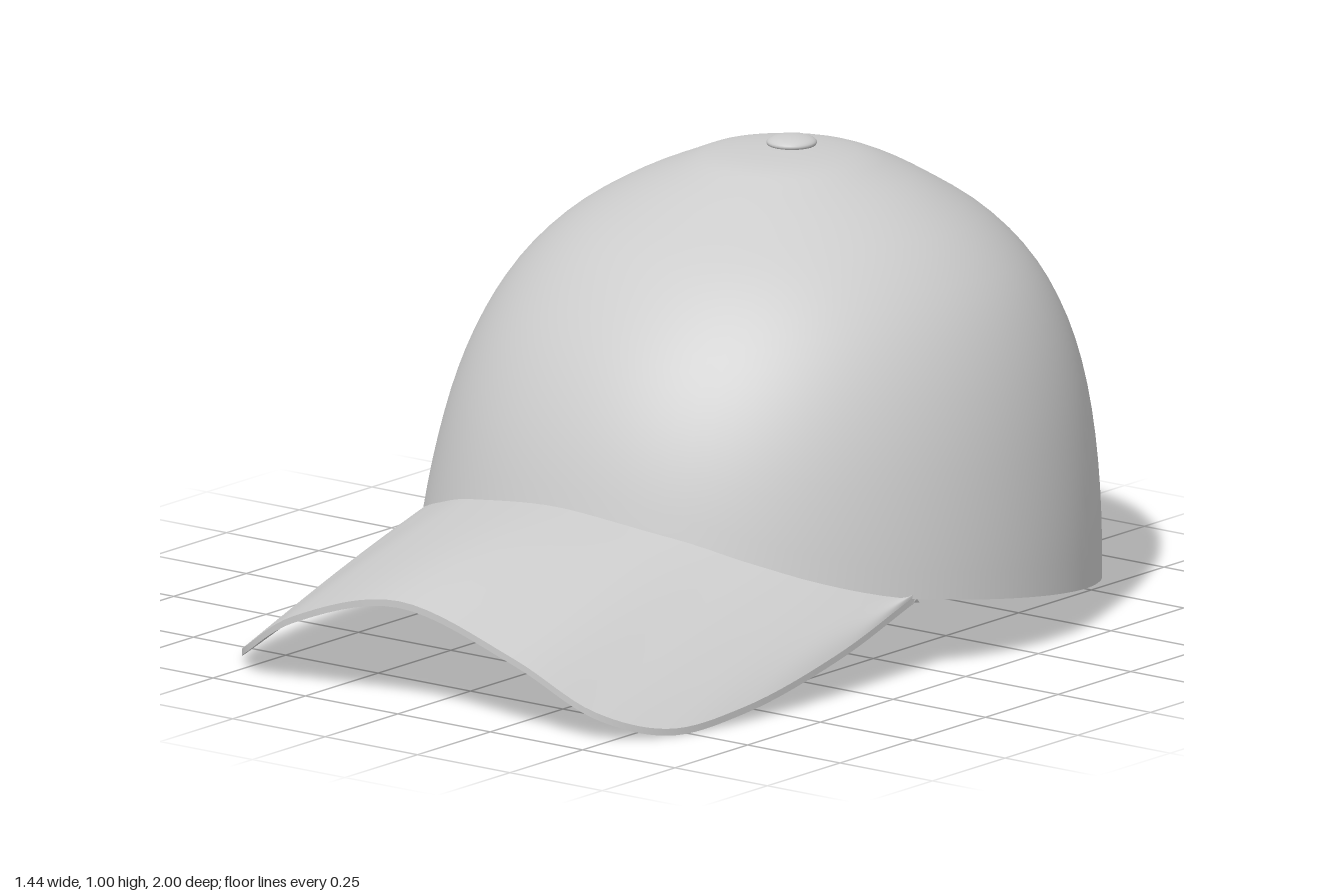
import * as THREE from 'three';
import { mergeGeometries } from 'three/addons/utils/BufferGeometryUtils.js';

const V = (x, y, z) => new THREE.Vector3(x, y, z);
const TOP = 0.98, WALL = 0.012;

// Surface through f(i, j); its front side is along (di x dj).
function grid(nu, nv, f) {
  const pos = [], idx = [];
  for (let i = 0; i <= nu; i++) for (let j = 0; j <= nv; j++) pos.push(...f(i, j).toArray());
  for (let i = 0; i < nu; i++) for (let j = 0; j < nv; j++) {
    const a = i * (nv + 1) + j, b = a + 1, c = a + nv + 1, d = c + 1;
    idx.push(a, c, b, c, d, b);
  }
  const g = new THREE.BufferGeometry();
  g.setAttribute('position', new THREE.Float32BufferAttribute(pos, 3));
  g.setIndex(idx);
  g.computeVertexNormals();
  return g;
}

// Crown profile at even steps of q = sqrt(TOP - y): half width, front z, back z
const profile = new THREE.CatmullRomCurve3([
  [0, -0.35, -0.35], [0.15, -0.19, -0.48], [0.235, -0.1, -0.57], [0.345, 0.01, -0.66],
  [0.455, 0.14, -0.765], [0.545, 0.245, -0.853], [0.61, 0.335, -0.92], [0.657, 0.405, -0.965],
  [0.69, 0.455, -0.987], [0.714, 0.49, -0.99], [0.728, 0.51, -0.98],
].map(p => V(...p)), false, 'catmullrom', 0.5);

// Point on the crown; theta runs from the back (0) over +x to the front (PI)
function crownPoint(theta, y, inset = 0) {
  const q = Math.sqrt(Math.max(0, TOP - y));
  const p = profile.getPoint(Math.min(q, 1)), k = 1 - inset / 0.72;
  return V(p.x * k * Math.sin(theta),
    y - inset * (1 - Math.min(1, q * 1.2)),
    (p.y + p.z) / 2 - (p.y - p.z) / 2 * k * Math.cos(theta));
}

// Height of the crown's lower edge, ignoring the rear opening
function hem(theta) {
  const u = -0.265 - 0.72 * Math.cos(theta) - 0.03;
  return 0.165 + (u < 0 ? 0.156 * u : 0.2 * u + 0.5 * u * u);
}

// Columns around the crown as [theta, lower y], with an arched rear opening
function crownColumns() {
  const half = [], end = Math.asin(0.3 / 0.72);
  for (let k = 0; k <= 16; k++) {
    const a = k / 16 * Math.PI / 2, th = Math.asin(0.3 * Math.sin(a) ** 0.8 / 0.72);
    half.push([th, hem(th) + 0.395 * Math.max(0, Math.cos(a)) ** 0.8]);
  }
  for (let k = 1; k <= 44; k++) {
    const th = end + (Math.PI - end) * k / 44;
    half.push([th, hem(th)]);
  }
  const other = half.slice(0, -1).reverse().map(([th, y]) => [2 * Math.PI - th, y]);
  return half.concat(other);
}

function crownGeometry() {
  const cols = crownColumns(), n = cols.length - 1, rows = 28;
  const at = (i, j, inset) => {
    const [th, yb] = cols[i], s = j / rows;
    return crownPoint(th, TOP - (TOP - yb) * s * s, inset);
  };
  return mergeGeometries([
    grid(n, rows, (i, j) => at(i, j, 0)),
    grid(n, rows, (i, j) => at(i, rows - j, WALL)),
    grid(n, 1, (i, j) => at(i, rows, j * WALL)),
  ]);
}

// Inner band along the hem, from one side of the opening to the other
function bandGeometry() {
  const a = Math.asin(0.3 / 0.72), n = 80;
  const insets = [0.012, 0.022, 0.022, 0.012], lifts = [0.003, 0.003, 0.13, 0.135];
  return grid(n, 3, (i, j) => {
    const th = a + (2 * Math.PI - 2 * a) * i / n;
    return crownPoint(th, hem(th) + lifts[j], insets[j]);
  });
}

// Curved brim spanned between the hem and an outer edge
function brimGeometry() {
  const mirror = pts => pts.concat(pts.slice(0, -1).reverse().map(([x, ...r]) => [-x, ...r]));
  const outer = new THREE.CatmullRomCurve3(mirror([
    [0.65, 0.17, 0.05], [0.645, 0.095, 0.3], [0.62, 0.032, 0.6], [0.57, 0.017, 0.8],
    [0.47, 0.062, 0.92], [0.3, 0.163, 0.98], [0, 0.247, 0.997],
  ]).map(p => V(...p)));
  const inner = new THREE.CatmullRomCurve3(
    mirror([[0.65], [0.625], [0.59], [0.53], [0.43], [0.28], [0]]).map(([x]) => {
      const th = Math.PI - Math.asin(x / 0.705);
      return crownPoint(th, hem(th) + 0.006, 0.008);
    }));
  const n = 96, m = 12, thick = 0.015;
  const at = (i, j, drop) => {
    const u = j / m, p = inner.getPoint(i / n).lerp(outer.getPoint(i / n), u);
    p.y += 0.008 * Math.sin(Math.PI * u) - drop;
    return p;
  };
  return mergeGeometries([
    grid(n, m, (i, j) => at(i, j, 0)),
    grid(n, m, (i, j) => at(i, m - j, thick)),
    grid(n, 1, (i, j) => at(i, m, j * thick)),
  ]);
}

// One short strap piece, bent around the back of the head
function strapTile(x0, x1, radius, { hole = false, round = false } = {}) {
  const y0 = 0.014, y1 = 0.136, r = round ? x1 - x0 : 0;
  const s = new THREE.Shape();
  s.moveTo(x1, y0).lineTo(x1, y1).lineTo(x0 + r, y1);
  if (round) s.quadraticCurveTo(x0, y1, x0, y1 - r).lineTo(x0, y0 + r).quadraticCurveTo(x0, y0, x0 + r, y0);
  else s.lineTo(x0, y0);
  s.closePath();
  if (hole) s.holes.push(new THREE.Path().absarc((x0 + x1) / 2, 0.08, 0.011, 0, Math.PI * 2, true));
  const g = new THREE.ExtrudeGeometry(s, { depth: 0.011, bevelEnabled: false, curveSegments: 8 });
  const p = g.attributes.position;
  for (let i = 0; i < p.count; i++) {
    const a = p.getX(i) / 0.72, rr = radius + p.getZ(i);
    const z = -0.27 - rr * Math.cos(a);
    p.setXYZ(i, -rr * Math.sin(a), p.getY(i) + 0.156 * (z + 1), z);
  }
  g.computeVertexNormals();
  return g;
}

export function createModel() {
  const fabric = new THREE.MeshStandardMaterial({ color: 0xcccccc, side: THREE.DoubleSide });
  fabric.name = 'greyFabric';
  const plastic = new THREE.MeshStandardMaterial({ color: 0x404040 });
  plastic.name = 'darkPlastic';

  const cap = new THREE.Group();
  cap.name = 'cap';
  const add = (name, geometry, material) => {
    const mesh = new THREE.Mesh(geometry, material);
    mesh.name = name;
    cap.add(mesh);
    return mesh;
  };

  add('crown', crownGeometry(), fabric);
  add('innerBand', bandGeometry(), fabric);
  add('brim', brimGeometry(), fabric);

  // Top button
  const button = add('topButton', new THREE.SphereGeometry(1, 32, 16), fabric);
  button.scale.set(0.054, 0.016, 0.054);
  button.position.set(0, 0.984, -0.355);

  // Rear strap: perforated outer layer and a plain tongue inside it
  const outerTiles = [], tongueTiles = [], w = 0.58 / 11;
  for (let k = 0; k < 11; k++) outerTiles.push(strapTile(-0.29 + k * w, -0.29 + (k + 1) * w, 0.718, { hole: true }));
  for (let k = 0; k < 8; k++) tongueTiles.push(strapTile(-0.08 + k * 0.04625, -0.08 + (k + 1) * 0.04625, 0.706));
  tongueTiles.push(strapTile(-0.13, -0.08, 0.706, { round: true }));
  add('strapOuter', mergeGeometries(outerTiles), plastic);
  add('strapTongue', mergeGeometries(tongueTiles), plastic);

  return cap;
}
